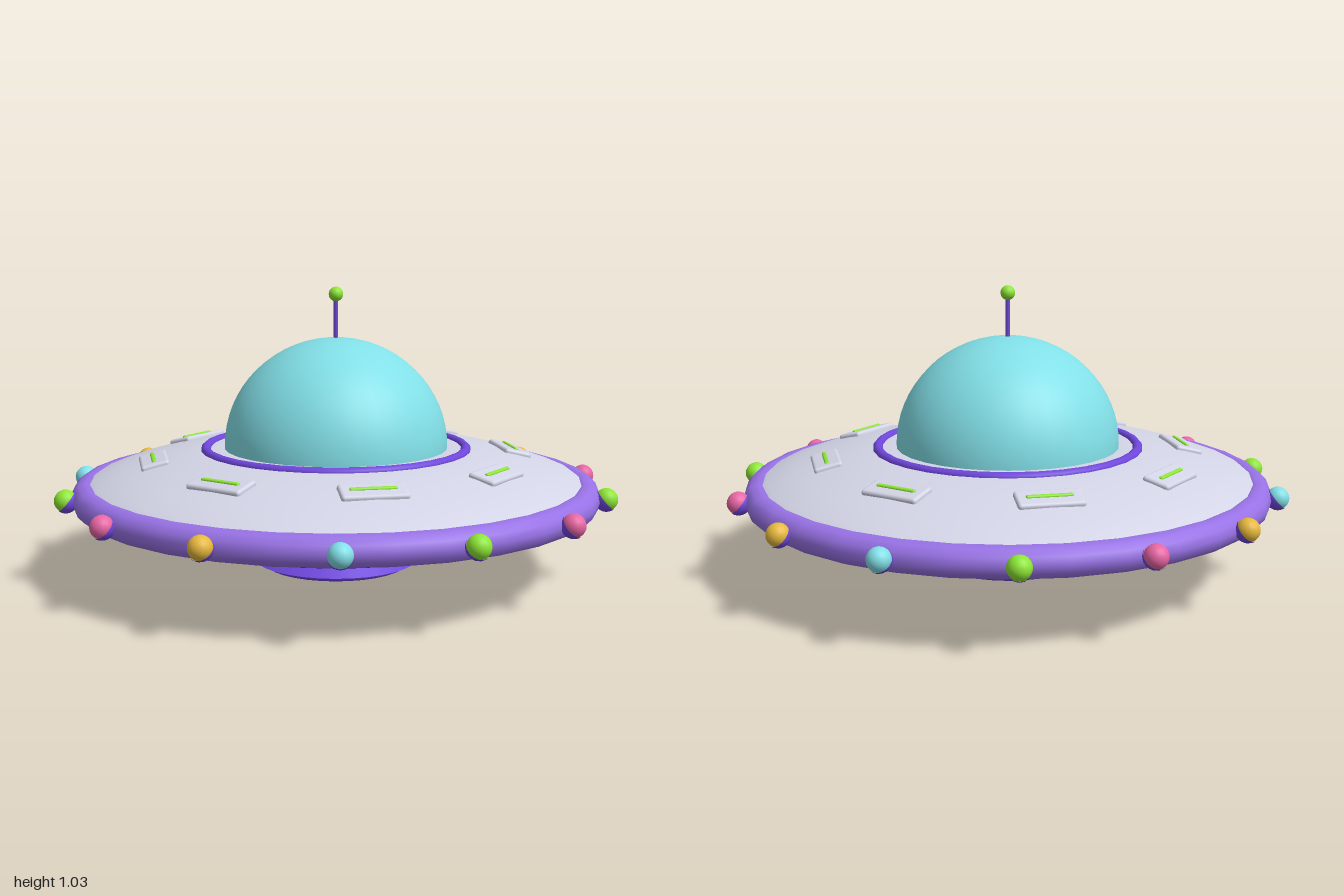
import * as THREE from 'three';
import { RoundedBoxGeometry } from 'three/addons/geometries/RoundedBoxGeometry.js';

const paint = (name, color) => {
  const m = new THREE.MeshStandardMaterial({ color });
  m.name = name;
  return m;
};

export function createModel() {
  const root = new THREE.Group();
  root.name = 'flyingSaucer';

  const silver = paint('silver', 0xd6d8ea);
  const darkHull = paint('darkPurple', 0x3f3072);
  const lilac = paint('lilac', 0x9b74ea);
  const violet = paint('violet', 0x6f47dc);
  const aqua = paint('aqua', 0x82e0e8);
  const green = paint('green', 0x8ee636);
  const pink = paint('pink', 0xec68a8);
  const gold = paint('gold', 0xe6b83c);

  const add = (name, geometry, material, parent = root) => {
    const mesh = new THREE.Mesh(geometry, material);
    mesh.name = name;
    parent.add(mesh);
    return mesh;
  };
  const lathe = (pts) =>
    new THREE.LatheGeometry(pts.map(([r, y]) => new THREE.Vector2(r, y)), 32);
  const ring = (name, radius, tube, y, material) => {
    const mesh = add(name, new THREE.TorusGeometry(radius, tube, 12, 32), material);
    mesh.rotation.x = -Math.PI / 2;
    mesh.position.y = y;
  };

  // Saucer body
  add('upperHull', lathe([[0.9, 0.33], [0.86, 0.359], [0.76, 0.395], [0.65, 0.425],
    [0.55, 0.445], [0.47, 0.455], [0.4, 0.458], [0, 0.46]]), silver);
  add('lowerHull', lathe([[0, 0.09], [0.28, 0.096], [0.42, 0.12], [0.55, 0.153],
    [0.65, 0.185], [0.8, 0.237], [0.89, 0.275]]), darkHull);
  ring('rim', 0.889, 0.053, 0.3, lilac);

  // Dome with its collar
  const dome = add('dome', new THREE.SphereGeometry(0.4, 32, 16, 0, Math.PI * 2, 0, Math.PI / 2), aqua);
  dome.scale.y = 0.98;
  dome.position.y = 0.457;
  ring('domeCollar', 0.466, 0.018, 0.452, violet);

  // Antenna
  add('antennaRod', new THREE.CylinderGeometry(0.008, 0.008, 0.17, 8), violet).position.y = 0.915;
  add('antennaBall', new THREE.SphereGeometry(0.026, 16, 12), green).position.y = 1.003;

  // Thruster under the hull
  add('thrusterSkirt', new THREE.CylinderGeometry(0.23, 0.295, 0.05, 32), violet).position.y = 0.072;
  ring('thrusterRing', 0.245, 0.022, 0.046, violet);
  const glow = add('thrusterGlow',
    new THREE.SphereGeometry(0.22, 32, 8, 0, Math.PI * 2, Math.PI / 2, Math.PI / 2), green);
  glow.scale.y = 0.18;
  glow.position.y = 0.04;

  // Eight slotted panels lying on the upper hull
  const plateGeometry = new RoundedBoxGeometry(0.22, 0.026, 0.1, 3, 0.011);
  const slotGeometry = new RoundedBoxGeometry(0.155, 0.016, 0.016, 2, 0.006);
  for (let i = 0; i < 8; i++) {
    const spoke = new THREE.Group();
    spoke.name = 'panelSpoke';
    spoke.rotation.y = Math.PI / 8 + i * Math.PI / 4;
    const panel = new THREE.Group();
    panel.name = 'panel';
    panel.position.set(0, 0.424, 0.65);
    panel.rotation.x = 0.24;
    add('panelPlate', plateGeometry, silver, panel);
    add('panelSlot', slotGeometry, green, panel).position.y = 0.011;
    spoke.add(panel);
    root.add(spoke);
  }

  // Fourteen coloured bulbs round the rim, each held by a cup on its inner underside
  const lightColors = [green, pink, gold, aqua];
  const bulbGeometry = new THREE.SphereGeometry(0.04, 16, 12);
  const cupGeometry = new THREE.SphereGeometry(0.043, 16, 8, 0, Math.PI * 2, Math.PI * 0.52, Math.PI * 0.48);
  for (let i = 0; i < 14; i++) {
    const light = new THREE.Group();
    light.name = 'rimLight';
    light.rotation.y = i * Math.PI / 7;
    const cup = add('lightCup', cupGeometry, violet, light);
    cup.rotation.z = -0.85;
    cup.position.set(0.96, 0.305, 0);
    add('lightBulb', bulbGeometry, lightColors[i % 4], light).position.copy(cup.position);
    root.add(light);
  }
  return root;
}
